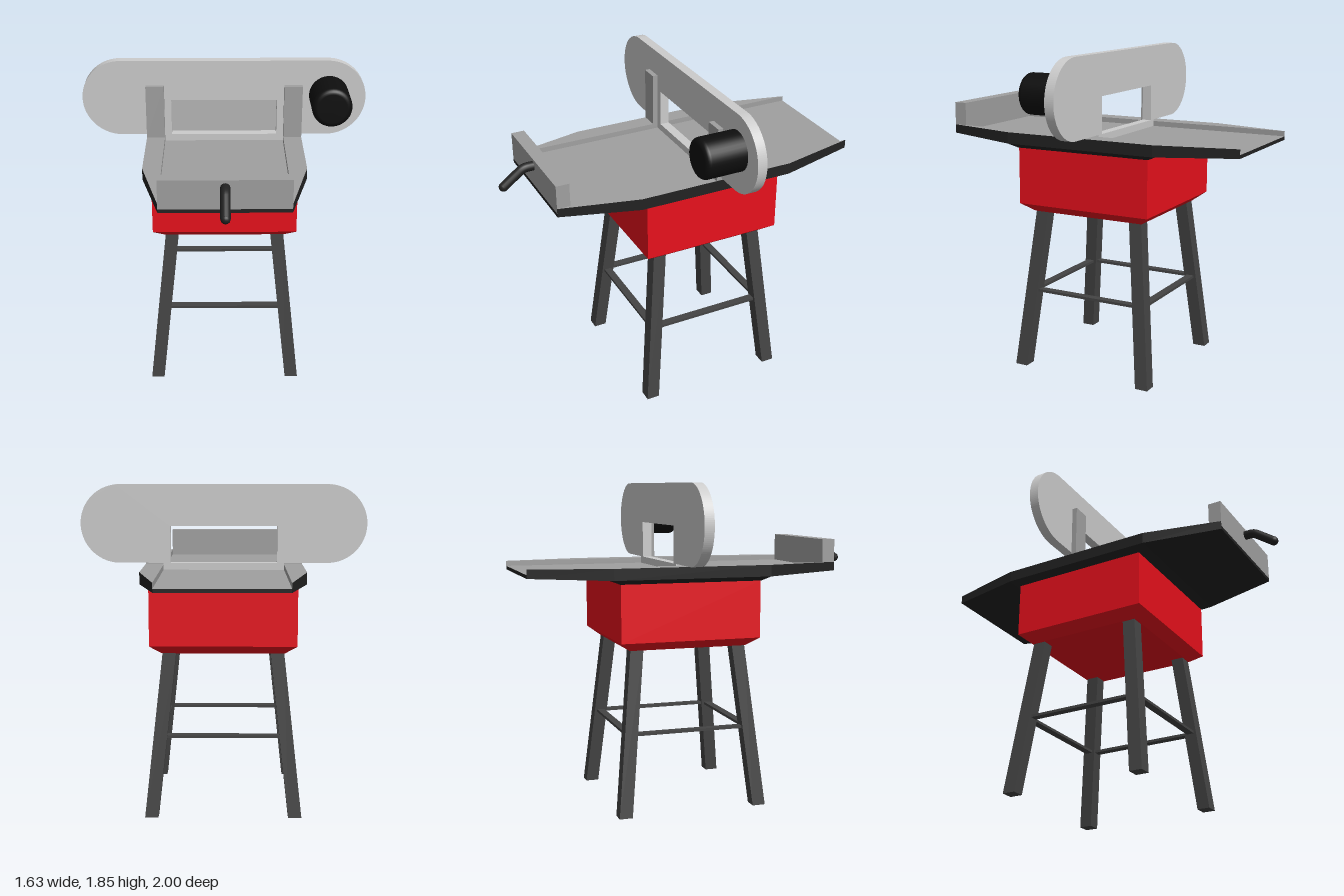
import * as THREE from 'three';

const paint = (color, extra = {}) => new THREE.MeshStandardMaterial({ color, ...extra });
const MID_Z = -0.095; // centre of body and stand

export function createModel() {
  const model = new THREE.Group();
  const silver = paint(0xcccccc);
  const grey = paint(0xa0a0a0, { side: THREE.DoubleSide });
  const black = paint(0x222222, { side: THREE.DoubleSide });
  const steel = paint(0x444444);
  const red = paint(0xe8101c);
  const motorBlack = paint(0x0e0e0e);

  const add = (name, geometry, material, x = 0, y = 0, z = 0) => {
    const mesh = new THREE.Mesh(geometry, material);
    mesh.name = name;
    mesh.position.set(x, y, z);
    model.add(mesh);
    return mesh;
  };
  // box given by its limits on each axis
  const block = (name, material, [x0, x1], [y0, y1], [z0, z1]) =>
    add(name, new THREE.BoxGeometry(x1 - x0, y1 - y0, z1 - z0), material,
      (x0 + x1) / 2, (y0 + y1) / 2, (z0 + z1) / 2);

  // box whose lower end is scaled and shifted
  const taperedBox = (w, h, d, scaleX, scaleZ, shiftX = 0, shiftZ = 0) => {
    const g = new THREE.BoxGeometry(w, h, d).toNonIndexed();
    const p = g.attributes.position;
    for (let i = 0; i < p.count; i++) {
      if (p.getY(i) > 0) continue;
      p.setX(i, p.getX(i) * scaleX + shiftX);
      p.setZ(i, p.getZ(i) * scaleZ + shiftZ);
    }
    g.computeVertexNormals();
    return g;
  };

  // flat faces from lists of four corners
  const quads = (faces) => {
    const pos = [];
    for (const [a, b, c, d] of faces) pos.push(...a, ...b, ...c, ...a, ...c, ...d);
    const g = new THREE.BufferGeometry();
    g.setAttribute('position', new THREE.Float32BufferAttribute(pos, 3));
    g.computeVertexNormals();
    return g;
  };

  // Stand: four splayed legs
  const topY = 0.93;
  for (const sx of [-1, 1]) {
    for (const sz of [-1, 1]) {
      add('leg', taperedBox(0.075, topY, 0.075, 1, 1, sx * 0.102, sz * 0.097), steel,
        sx * 0.3, topY / 2, MID_Z + sz * 0.3);
    }
  }
  // Stand: rails joining the legs
  for (const s of [-1, 1]) {
    add('crossRail', new THREE.BoxGeometry(0.7, 0.015, 0.045), steel, 0, 0.455, MID_Z + s * 0.35);
    add('sideRail', new THREE.BoxGeometry(0.045, 0.015, 0.7), steel, s * 0.35, 0.455, MID_Z);
  }

  // Body with bevelled base
  block('body', red, [-0.407, 0.407], [0.975, 1.3], [-0.502, 0.312]);
  add('bodyBase', taperedBox(0.814, 0.05, 0.814, 0.84, 0.84), red, 0, 0.95, MID_Z);

  // Table: recessed bed between raised side wings, dark skirt below
  const IN = 0.345, BED = 1.36, TOP = 1.39;
  const rim = [[IN, 0.8, 1.34], [0.45, 0.36, 1.325], [0.45, -0.55, 1.325], [IN, -1, 1.34]];
  const topFaces = [[[-IN, BED, 0.8], [IN, BED, 0.8], [IN, BED, -1], [-IN, BED, -1]]];
  const skirtFaces = [];
  for (const s of [-1, 1]) {
    const mirrored = (face) => {
      const f = face.map(([x, y, z]) => [s * x, y, z]);
      return s < 0 ? f.reverse() : f;
    };
    topFaces.push(mirrored(rim.map(([x, z]) => [x, TOP, z])));
    topFaces.push(mirrored([[IN, BED, -1], [IN, BED, 0.8], [IN, TOP, 0.8], [IN, TOP, -1]]));
    for (let i = 0; i < 3; i++) {
      const [x0, z0, y0] = rim[i], [x1, z1, y1] = rim[i + 1];
      skirtFaces.push(mirrored([[x0, y0, z0], [x1, y1, z1], [x1, TOP, z1], [x0, TOP, z0]]));
    }
  }
  const endFace = [[-IN, 1.34, 0.8], [IN, 1.34, 0.8], [IN, BED, 0.8], [-IN, BED, 0.8]];
  skirtFaces.push(endFace, endFace.map(([x, y]) => [-x, y, -1]));
  for (const i of [0, 2]) {
    const [x0, z0, y0] = rim[i], [x1, z1, y1] = rim[i + 1];
    skirtFaces.push([[-x1, y1, z1], [x1, y1, z1], [x0, y0, z0], [-x0, y0, z0]]);
  }
  add('tableTop', quads(topFaces), grey);
  add('tableSkirt', quads(skirtFaces), black);
  add('tableCollar', taperedBox(0.9, 0.025, 0.91, 0.82 / 0.9, 0.82 / 0.91), black, 0, 1.3125, MID_Z);

  // Cover: long rounded plate with a window
  const r = 0.2225, cx = 0.5925, cy = 1.6225;
  const plate = new THREE.Shape();
  plate.moveTo(-0.305, cy - r);
  plate.lineTo(-cx, cy - r);
  plate.absarc(-cx, cy, r, -Math.PI / 2, -Math.PI * 1.5, true);
  plate.lineTo(cx, cy + r);
  plate.absarc(cx, cy, r, Math.PI / 2, -Math.PI / 2, true);
  plate.lineTo(0.305, cy - r);
  plate.lineTo(0.305, 1.61);
  plate.lineTo(-0.305, 1.61);
  plate.closePath();
  add('cover', new THREE.ExtrudeGeometry(plate, { depth: 0.055, bevelEnabled: false, curveSegments: 32 }),
    silver, 0, 0, -0.17);
  block('coverSill', silver, [-IN, IN], [BED, 1.4], [-0.17, -0.115]);

  // Upright brackets in front of the cover
  for (const s of [-1, 1]) {
    const xs = [s * IN, s * 0.45].sort((a, b) => a - b);
    block('bracket', grey, xs, [TOP, 1.7], [-0.115, -0.085]);
  }

  // Motor with rounded front edge
  const profile = [new THREE.Vector2(0.113, 0)];
  for (let i = 0; i <= 6; i++) {
    const a = (i / 6) * Math.PI / 2;
    profile.push(new THREE.Vector2(0.083 + 0.03 * Math.cos(a), 0.205 + 0.03 * Math.sin(a)));
  }
  profile.push(new THREE.Vector2(0, 0.235));
  add('motor', new THREE.LatheGeometry(profile, 40), motorBlack, 0.602, 1.641, -0.116)
    .rotation.x = Math.PI / 2;

  // Front fence
  block('fence', grey, [-IN, IN], [BED, 1.522], [0.725, 0.8]);

  // Crank handle
  const crank = new THREE.CurvePath();
  const p = [[0.79, 1.48], [0.83, 1.48], [0.855, 1.48], [0.875, 1.465], [0.973, 1.392]]
    .map(([z, y]) => new THREE.Vector3(0, y, z));
  crank.add(new THREE.LineCurve3(p[0], p[1]));
  crank.add(new THREE.QuadraticBezierCurve3(p[1], p[2], p[3]));
  crank.add(new THREE.LineCurve3(p[3], p[4]));
  add('crankHandle', new THREE.TubeGeometry(crank, 24, 0.026, 16), black);
  add('crankTip', new THREE.SphereGeometry(0.026, 16, 12), black, ...p[4].toArray());

  return model;
}
